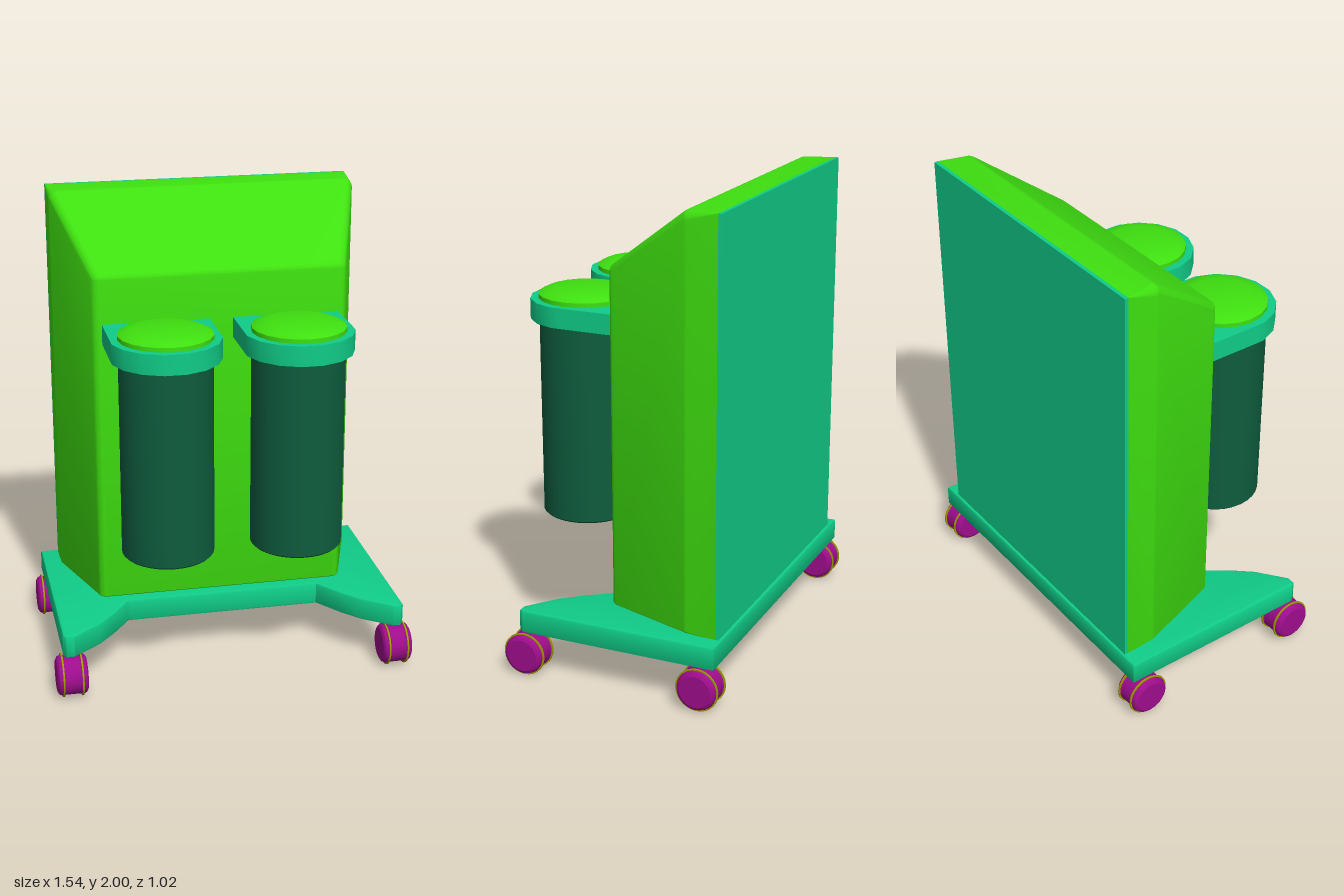
import * as THREE from 'three';
import { toCreasedNormals } from 'three/addons/utils/BufferGeometryUtils.js';
import { ConvexGeometry } from 'three/addons/geometries/ConvexGeometry.js';

const paint = (color) => new THREE.MeshStandardMaterial({ color });
const lime = paint(0x3fe010), teal = paint(0x10cc88), bottle = paint(0x0e5c3e);
const purple = paint(0x9e0d8c), olive = paint(0x9a9a00);

function addMesh(parent, name, geometry, material, x = 0, y = 0, z = 0) {
  const mesh = new THREE.Mesh(geometry, material);
  mesh.name = name;
  mesh.position.set(x, y, z);
  parent.add(mesh);
  return mesh;
}

const lathe = (profile, sides) => toCreasedNormals(
  new THREE.LatheGeometry(profile.map(([r, y]) => new THREE.Vector2(r, y)), sides), 0.45);

// Plate from a plan outline of [x, z] points, resting on y = 0
function plate(outline, height, bevel) {
  const shape = new THREE.Shape(outline.map(([x, z]) => new THREE.Vector2(x, -z)));
  const geometry = new THREE.ExtrudeGeometry(shape, {
    depth: height - 2 * bevel, bevelEnabled: bevel > 0, bevelSize: bevel,
    bevelThickness: bevel, bevelOffset: -bevel, bevelSegments: 2,
  });
  return toCreasedNormals(geometry.rotateX(-Math.PI / 2).translate(0, bevel, 0), 0.5);
}

// Cabinet: hull around small balls at the rounded corners, with a square back edge
function cabinetGeometry() {
  const ball = new THREE.SphereGeometry(0.04, 24, 16).getAttribute('position');
  const corners = [ // x, y, z, vertical squash
    [0.501, 0.295, 0.02, 0.375], [0.62, 0.295, -0.335, 0.375],
    [0.501, 1.7, 0.02, 1], [0.62, 1.96, -0.335, 1],
  ];
  const points = [];
  for (const side of [-1, 1]) {
    for (const [x, y, z, squash] of corners) {
      for (let i = 0; i < ball.count; i++) {
        points.push(new THREE.Vector3(
          side * (x + ball.getX(i)), y + squash * ball.getY(i), z + ball.getZ(i)));
      }
    }
    for (const y of [0.28, 2]) points.push(new THREE.Vector3(side * 0.66, y, -0.46));
  }
  return toCreasedNormals(new ConvexGeometry(points), 0.3);
}

// Bin holder: square at the cabinet, half of a 16-sided ring at the front
function holderOutline() {
  const outline = [[-0.225, -0.24], [-0.225, 0]];
  for (let i = 0; i < 8; i++) {
    const a = Math.PI * (1 - (i + 0.5) / 8);
    outline.push([0.229 * Math.cos(a), 0.229 * Math.sin(a)]);
  }
  outline.push([0.225, 0], [0.225, -0.24]);
  return outline;
}

export function createModel() {
  const model = new THREE.Group();
  model.name = 'wasteCart';

  addMesh(model, 'cabinet', cabinetGeometry(), lime);
  addMesh(model, 'backPanel', new THREE.BoxGeometry(1.32, 1.72, 0.016), teal, 0, 1.14, -0.467);

  // Base with two forward legs
  const half = [[0.737, -0.487], [0.737, 0.37], [0.725, 0.387], [0.69, 0.387],
    [0.57, 0.295], [0.5, 0.215], [0.42, 0.105]];
  const mirrored = half.map(([x, z]) => [-x, z]).reverse();
  addMesh(model, 'base', plate([...half, ...mirrored], 0.1, 0.01), teal, 0, 0.185, 0);

  // Two bins with holders and domed lids
  const holder = plate(holderOutline(), 0.085, 0);
  const can = lathe([[0, 0.59], [0.185, 0.59], [0.193, 0.598], [0.193, 1.52], [0, 1.52]], 32);
  const lid = lathe([[0, 1.515], [0.195, 1.515], [0.195, 1.54], [0.165, 1.555],
    [0.125, 1.565], [0, 1.568]], 20);
  for (const side of [-1, 1]) {
    const bin = new THREE.Group();
    bin.name = side > 0 ? 'leftBin' : 'rightBin';
    bin.position.set(side * 0.274, 0, 0.286);
    addMesh(bin, 'holder', holder, teal, 0, 1.437, 0);
    addMesh(bin, 'can', can, bottle);
    addMesh(bin, 'lid', lid, lime);
    model.add(bin);
  }

  // Four casters: rounded wheel with two thin rims
  const wheel = lathe([[0, -0.064], [0.068, -0.064], [0.08, -0.057], [0.086, -0.044],
    [0.086, -0.036], [0.083, -0.03], [0.083, 0.03], [0.086, 0.036],
    [0.086, 0.044], [0.08, 0.057], [0.068, 0.064], [0, 0.064]], 28);
  const rim = new THREE.CylinderGeometry(0.092, 0.092, 0.007, 28);
  for (const x of [-0.704, 0.704]) {
    for (const z of [-0.418, 0.36]) {
      const caster = new THREE.Group();
      caster.name = z > 0 ? 'frontCaster' : 'rearCaster';
      caster.position.set(x, 0.094, z);
      caster.rotation.z = Math.PI / 2;
      addMesh(caster, 'wheel', wheel, purple);
      for (const y of [-0.04, 0.04]) addMesh(caster, 'rim', rim, olive, 0, y, 0);
      model.add(caster);
    }
  }
  return model;
}
